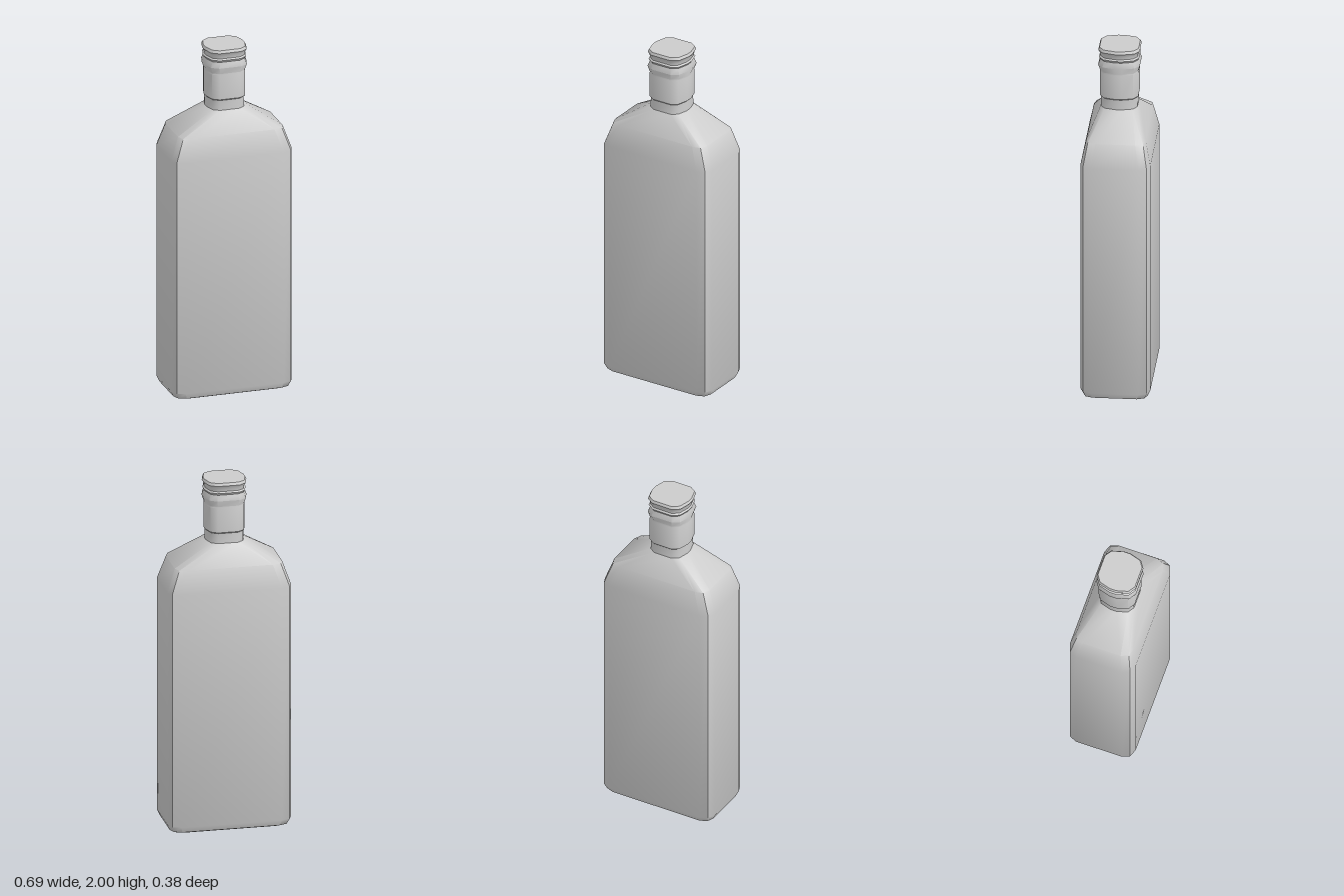
import * as THREE from 'three';
import { toCreasedNormals } from 'three/addons/utils/BufferGeometryUtils.js';

// Twelve-sided ring: each corner has a front point, a corner point and a side point.
// a = front flat half width, b/c = corner x/z, d = side flat half depth, w/h = half extents.
function ring(y, w, h, b, c, a, d) {
  const quarter = [[w, d], [b, c], [a, h]];
  const flip = [...quarter].reverse();
  return [
    ...quarter.map(([x, z]) => [x, y, z]),
    ...flip.map(([x, z]) => [-x, y, z]),
    ...quarter.map(([x, z]) => [-x, y, -z]),
    ...flip.map(([x, z]) => [x, y, -z]),
  ];
}

// Skin a stack of rings from bottom to top, with optional flat ends.
function loft(name, rings, capBottom, capTop) {
  const n = rings[0].length, index = [];
  for (let i = 0; i < rings.length - 1; i++) {
    for (let j = 0; j < n; j++) {
      const a = i * n + j, b = i * n + (j + 1) % n;
      index.push(a, a + n, b, b, a + n, b + n);
    }
  }
  const top = (rings.length - 1) * n;
  for (let j = 1; j < n - 1; j++) {
    if (capBottom) index.push(0, j, j + 1);
    if (capTop) index.push(top, top + j + 1, top + j);
  }
  const geometry = new THREE.BufferGeometry();
  geometry.setAttribute('position', new THREE.Float32BufferAttribute(rings.flat(2), 3));
  geometry.setIndex(index);
  const material = new THREE.MeshStandardMaterial({ color: 0xcccccc, side: THREE.DoubleSide });
  const mesh = new THREE.Mesh(toCreasedNormals(geometry, 0.75), material);
  mesh.name = name;
  return mesh;
}

// Neck rings share one rounded outline, scaled to the given half width.
function neckRing([y, w]) {
  const s = w / 0.122;
  return ring(y, w, 0.115 * s, 0.103 * s, 0.088 * s, 0.063 * s, 0.02 * s);
}

export function createModel() {
  const group = new THREE.Group();
  group.name = 'bottle';

  // Flat rectangular body, bevelled base and sloping shoulders
  group.add(loft('body', [
    ring(0, 0.303, 0.15, 0.29, 0.138, 0.255, 0.105),
    ring(0.012, 0.332, 0.178, 0.316, 0.162, 0.273, 0.122),
    ring(0.045, 0.347, 0.192, 0.33, 0.175, 0.283, 0.133),
    ring(1.395, 0.347, 0.192, 0.33, 0.175, 0.283, 0.133),
    ring(1.525, 0.302, 0.164, 0.285, 0.152, 0.238, 0.11),
    neckRing([1.648, 0.107]),
  ], true, false));

  // Short neck below the cap
  group.add(loft('neck', [[1.648, 0.107], [1.705, 0.105], [1.712, 0.112]].map(neckRing), false, false));

  // Cap: straight collar, bulging bead, groove and flared top
  group.add(loft('cap', [
    [1.712, 0.112], [1.855, 0.112], [1.862, 0.11], [1.898, 0.122],
    [1.93, 0.11], [1.942, 0.117], [1.95, 0.109], [1.97, 0.112],
    [1.985, 0.121], [2, 0.114],
  ].map(neckRing), false, true));

  return group;
}
